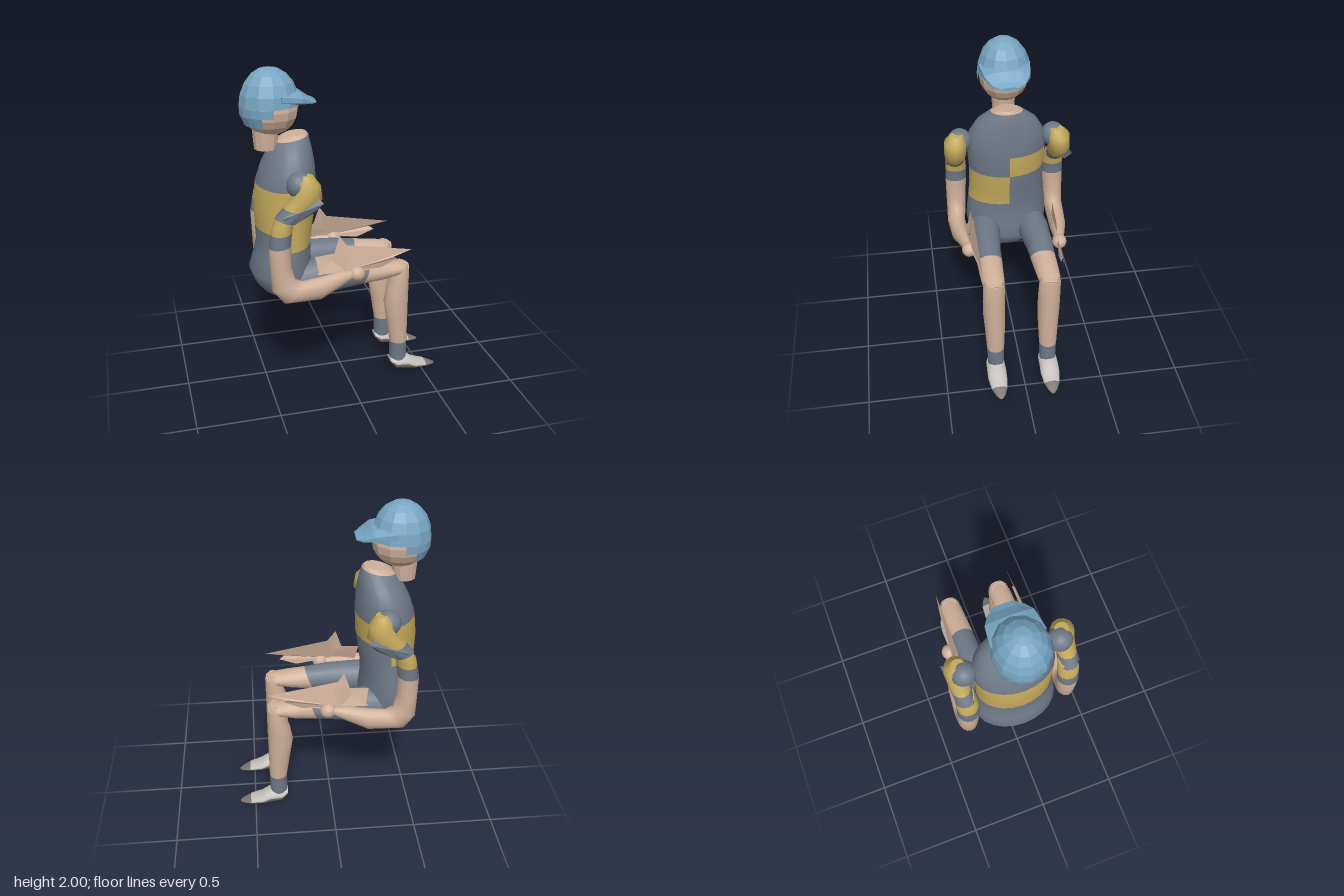
import * as THREE from 'three';

const mat = (name, color) => Object.assign(new THREE.MeshStandardMaterial({ color }), { name });

export function createModel() {
  const model = new THREE.Group();
  model.name = 'seatedRider';

  const skin = mat('skin', 0xcfb09a);
  const cloth = mat('slate cloth', 0x6f7987);
  const yellow = mat('yellow cloth', 0xc4a95c);
  const blue = mat('helmet blue', 0x78a6c3);
  const shoe = mat('shoe grey', 0xc4bfba);
  const sole = mat('sole brown', 0x7d736e);
  const flatSkin = mat('faceted skin', 0xcfb09a);
  for (const m of [blue, flatSkin]) m.flatShading = true;
  for (const m of [blue, flatSkin, cloth]) m.side = THREE.DoubleSide;

  const add = (name, geometry, material, parent = model) => {
    const mesh = new THREE.Mesh(geometry, material);
    mesh.name = name;
    parent.add(mesh);
    return mesh;
  };

  // Skins elliptical rings [ax, ay, bx, by, z, halfWidth]; a and b are the ring's
  // two ends in the side plane. pick(row, angle) chooses the material.
  function loft(name, rings, n, mats, pick = () => 0, parent = model) {
    const pos = [], faces = mats.map(() => []);
    const ring = ([ax, ay, bx, by, z, w]) => {
      for (let j = 0; j < n; j++) {
        const a = (j / n) * Math.PI * 2, c = Math.cos(a) / 2;
        pos.push((ax + bx) / 2 + (ax - bx) * c, (ay + by) / 2 + (ay - by) * c, z + Math.sin(a) * w);
      }
    };
    rings.forEach(ring);
    for (let i = 0; i < rings.length - 1; i++)
      for (let j = 0; j < n; j++) {
        const a = i * n + j, b = i * n + (j + 1) % n;
        faces[pick(i, ((j + 0.5) / n) * Math.PI * 2)].push(a, b, a + n, b, b + n, a + n);
      }
    // end caps with their own corners
    [0, rings.length - 1].forEach((r, end) => {
      const base = pos.length / 3;
      ring(rings[r]);
      const list = faces[pick(end ? r - 1 : 0, 0.1)];
      for (let j = 1; j < n - 1; j++)
        end ? list.push(base, base + j, base + j + 1) : list.push(base, base + j + 1, base + j);
    });
    const g = new THREE.BufferGeometry();
    g.setAttribute('position', new THREE.Float32BufferAttribute(pos, 3));
    g.setIndex(faces.flat());
    let start = 0;
    faces.forEach((f, k) => { g.addGroup(start, f.length, k); start += f.length; });
    g.computeVertexNormals();
    return add(name, g, mats.length > 1 ? mats : mats[0], parent);
  }

  // Thin folded sheet fanned out from its first point
  function sheet(name, pts, material, parent) {
    const pos = [];
    for (let i = 1; i < pts.length - 1; i++) pos.push(...pts[0], ...pts[i], ...pts[i + 1]);
    const g = new THREE.BufferGeometry();
    g.setAttribute('position', new THREE.Float32BufferAttribute(pos, 3));
    g.computeVertexNormals();
    add(name, g, material, parent);
  }

  // Torso and hips: collar, chequered jersey, shorts
  loft('torso', [
    [-0.21, 1.61, -0.35, 1.59, 0, 0.07],
    [-0.195, 1.595, -0.4, 1.56, 0, 0.1],
    [-0.18, 1.52, -0.44, 1.5, 0, 0.185],
    [-0.165, 1.42, -0.485, 1.41, 0, 0.24],
    [-0.16, 1.31, -0.52, 1.31, 0, 0.25],
    [-0.165, 1.17, -0.535, 1.17, 0, 0.24],
    [-0.185, 1.04, -0.53, 1.04, 0, 0.24],
    [-0.2, 0.94, -0.525, 0.94, 0, 0.25],
    [-0.2, 0.85, -0.545, 0.85, 0, 0.26],
    [-0.19, 0.76, -0.575, 0.76, 0, 0.265],
    [-0.19, 0.68, -0.545, 0.68, 0, 0.25],
    [-0.2, 0.63, -0.505, 0.63, 0, 0.2],
    [-0.25, 0.605, -0.42, 0.605, 0, 0.12],
  ], 24, [cloth, yellow, skin], (row, a) => {
    if (row === 0) return 2;
    const back = Math.cos(a) < 0, left = Math.sin(a) > 0;
    if (row === 4) return back || !left ? 1 : 0;
    if (row === 5) return back || left ? 1 : 0;
    if (row === 6) return !back && left ? 1 : 0;
    return 0;
  });

  // Head and neck
  const head = add('head', new THREE.SphereGeometry(1, 12, 10), flatSkin);
  head.scale.set(0.168, 0.155, 0.152);
  head.position.set(-0.42, 1.755, 0);
  add('neck', new THREE.CylinderGeometry(0.08, 0.07, 0.14, 12), flatSkin).position.set(-0.45, 1.59, 0);

  // Helmet: dome, back guard in two steps, peak
  const helmet = new THREE.Group();
  helmet.name = 'helmet';
  model.add(helmet);
  const dome = add('helmetDome', new THREE.SphereGeometry(1, 12, 5, 0, Math.PI * 2, 0, Math.PI / 2), blue, helmet);
  dome.scale.set(0.178, 0.22, 0.165);
  dome.position.set(-0.422, 1.78, 0);
  for (const [top, bottom, y, h, half] of [[1, 0.98, 1.755, 0.05, 1.55], [0.98, 0.84, 1.7, 0.06, 1.15]]) {
    const guard = add('helmetGuard', new THREE.CylinderGeometry(top, bottom, h, 8, 1, true,
      Math.PI * 1.5 - half, half * 2), blue, helmet);
    guard.scale.set(0.178, 1, 0.165);
    guard.position.set(-0.422, y, 0);
  }
  loft('helmetPeak', [
    [-0.38, 1.89, -0.38, 1.78, 0, 0.163],
    [-0.25, 1.86, -0.25, 1.78, 0, 0.145],
    [-0.19, 1.815, -0.19, 1.78, 0, 0.105],
    [-0.155, 1.8, -0.155, 1.78, 0, 0.06],
  ], 10, [blue], undefined, helmet);

  for (const s of [1, -1]) {
    const side = s > 0 ? 'right' : 'left';
    const leg = new THREE.Group(), arm = new THREE.Group();
    leg.name = side + 'Leg';
    arm.name = side + 'Arm';
    model.add(leg, arm);
    const limb = (rings) => rings.map(([a, b, c, d, z, w]) => [a, b, c, d, z * s, w]);
    const flip = (pts) => pts.map(([x, y, z]) => [x, y, z * s]);

    // Thigh with shorts leg
    loft('thigh', limb([
      [-0.4, 0.82, -0.38, 0.61, 0.14, 0.1],
      [-0.2, 0.84, -0.22, 0.61, 0.16, 0.1],
      [0, 0.825, -0.03, 0.64, 0.17, 0.085],
      [0.14, 0.805, 0.08, 0.655, 0.17, 0.08],
      [0.25, 0.79, 0.22, 0.67, 0.173, 0.075],
      [0.34, 0.775, 0.3, 0.69, 0.173, 0.07],
      [0.395, 0.76, 0.36, 0.69, 0.173, 0.055],
    ]), 16, [cloth, skin], (row) => (row < 3 ? 0 : 1), leg);

    // Shin and sock
    loft('shin', limb([
      [0.385, 0.765, 0.32, 0.77, 0.173, 0.05],
      [0.4, 0.74, 0.3, 0.72, 0.173, 0.068],
      [0.4, 0.6, 0.26, 0.6, 0.173, 0.07],
      [0.4, 0.5, 0.243, 0.5, 0.173, 0.07],
      [0.4, 0.38, 0.262, 0.38, 0.17, 0.065],
      [0.4, 0.215, 0.288, 0.215, 0.17, 0.056],
      [0.4, 0.085, 0.288, 0.085, 0.17, 0.052],
    ]), 16, [skin, cloth], (row) => (row === 5 ? 1 : 0), leg);

    // Pointed shoe, light upper and dark sole
    loft('shoe', limb([
      [0.285, 0.1, 0.295, 0.06, 0.172, 0.045],
      [0.32, 0.105, 0.33, 0.015, 0.172, 0.06],
      [0.4, 0.105, 0.4, 0.006, 0.172, 0.062],
      [0.45, 0.068, 0.45, 0, 0.172, 0.062],
      [0.53, 0.04, 0.53, 0, 0.17, 0.05],
      [0.575, 0.02, 0.575, 0, 0.168, 0.03],
      [0.6, 0.008, 0.6, 0, 0.167, 0.01],
    ]), 16, [shoe, sole], (row, a) => (row < 4 && Math.cos(a) > -0.1 ? 0 : 1), leg);

    // Shoulder and folded upper sleeve
    const cap = add('shoulderCap', new THREE.SphereGeometry(0.077, 16, 12), cloth, arm);
    cap.position.set(-0.315, 1.375, s * 0.295);
    loft('upperSleeve', limb([
      [-0.24, 1.435, -0.31, 1.44, 0.315, 0.04],
      [-0.2, 1.38, -0.34, 1.41, 0.325, 0.07],
      [-0.19, 1.3, -0.36, 1.33, 0.328, 0.07],
      [-0.28, 1.215, -0.42, 1.26, 0.33, 0.06],
      [-0.35, 1.16, -0.47, 1.2, 0.325, 0.06],
    ]), 12, [yellow, cloth], (row) => (row === 3 ? 1 : 0), arm);
    sheet('sleeveFold', flip([
      [-0.2, 1.29, 0.4], [-0.24, 1.34, 0.37], [-0.44, 1.21, 0.385], [-0.36, 1.17, 0.37], [-0.24, 1.23, 0.36],
    ]), cloth, arm);

    // Lower sleeve bands, elbow and forearm
    loft('lowerArm', limb([
      [-0.34, 1.23, -0.45, 1.21, 0.32, 0.055],
      [-0.36, 1.17, -0.485, 1.15, 0.32, 0.066],
      [-0.37, 1.11, -0.495, 1.1, 0.32, 0.068],
      [-0.38, 1.03, -0.51, 1.02, 0.322, 0.068],
      [-0.38, 0.9, -0.505, 0.88, 0.325, 0.065],
      [-0.36, 0.81, -0.5, 0.75, 0.328, 0.062],
      [-0.31, 0.79, -0.43, 0.665, 0.335, 0.058],
      [-0.2, 0.8, -0.21, 0.66, 0.325, 0.053],
      [-0.08, 0.81, -0.07, 0.72, 0.305, 0.04],
      [0, 0.805, 0, 0.755, 0.29, 0.03],
    ]), 14, [skin, yellow, cloth], (row) => (row < 2 ? 1 : row === 2 ? 2 : 0), arm);

    // Hand with splayed, folded fingers
    const hand = add('hand', new THREE.SphereGeometry(0.046, 14, 10), skin, arm);
    hand.position.set(0.03, 0.78, s * 0.29);
    hand.scale.x = 1.1;
    sheet('longFingers', flip([
      [-0.04, 0.8, 0.285], [-0.05, 0.96, 0.25], [0.39, 0.88, 0.245], [0.27, 0.85, 0.262],
      [0.3, 0.83, 0.248], [0.19, 0.785, 0.255], [0.05, 0.79, 0.28],
    ]), flatSkin, arm);
    sheet('thumb', flip([
      [-0.04, 0.8, 0.29], [-0.22, 0.8, 0.29], [-0.12, 0.87, 0.265], [-0.07, 1.02, 0.255], [0.0, 0.92, 0.27],
    ]), flatSkin, arm);
    sheet('palmFold', flip([
      [-0.22, 0.9, 0.25], [-0.1, 0.91, 0.25], [0.0, 0.84, 0.265], [-0.2, 0.79, 0.28],
    ]), flatSkin, arm);
  }
  return model;
}
